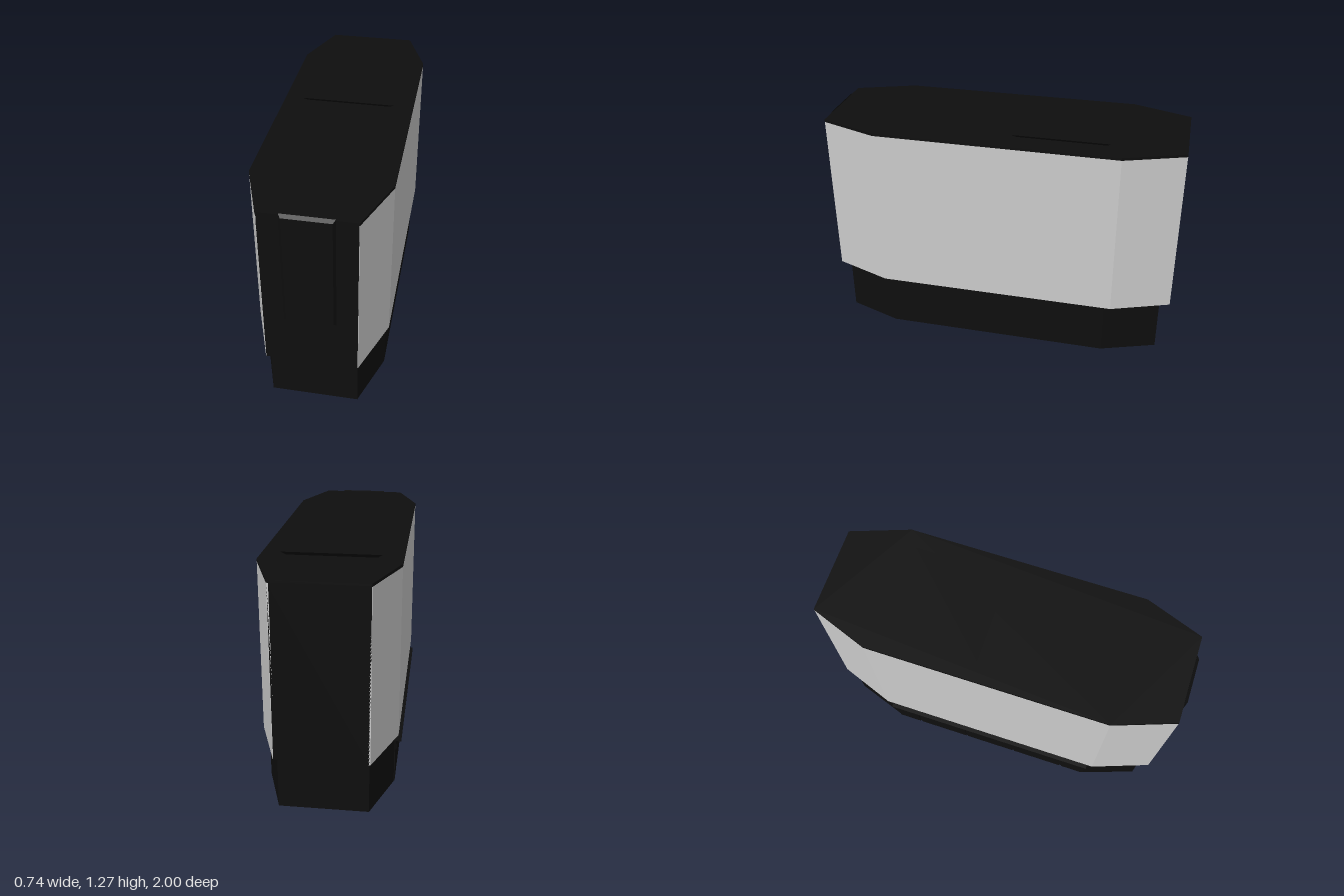
import * as THREE from 'three';

const CX = 0.005, CZ = -0.0075; // shared plan centre
const black = new THREE.MeshStandardMaterial({ color: 0x0e0e0e, flatShading: true });
const grey = new THREE.MeshStandardMaterial({ color: 0xcccccc, flatShading: true });

// Upright prism from [x, z] plan points
function prism(points, y0, y1) {
  const shape = new THREE.Shape(points.map(([x, z]) => new THREE.Vector2(x, -z)));
  const g = new THREE.ExtrudeGeometry(shape, { depth: y1 - y0, bevelEnabled: false });
  return g.rotateX(-Math.PI / 2).translate(CX, y0, CZ);
}

// Elongated octagon: half width, half end width, half length, half straight length
function octagon(w, e, l, s) {
  return [[e, l], [w, s], [w, -s], [e, -l], [-e, -l], [-w, -s], [-w, s], [-e, l]];
}

// Box whose -z or -y side is narrower: a four-sided frustum along +y
function frustum(w0, d0, w1, d1, h) {
  const g = new THREE.BoxGeometry(1, h, 1);
  const p = g.attributes.position;
  for (let i = 0; i < p.count; i++) {
    const top = p.getY(i) > 0;
    p.setX(i, p.getX(i) * (top ? w1 : w0));
    p.setZ(i, p.getZ(i) * (top ? d1 : d0));
  }
  g.computeVertexNormals();
  return g.translate(0, h / 2, 0);
}

export function createModel() {
  const group = new THREE.Group();
  const add = (name, geometry, material) => {
    const mesh = new THREE.Mesh(geometry, material);
    mesh.name = name;
    group.add(mesh);
    return mesh;
  };

  // Plinth, cabinet core and worktop
  add('plinth', prism(octagon(0.34, 0.235, 0.935, 0.63), 0, 0.32), black);
  add('cabinetCore', prism(octagon(0.355, 0.243, 0.9925, 0.665), 0.31, 1.24), black);
  add('worktop', prism(octagon(0.363, 0.245, 0.9925, 0.668), 1.237, 1.252), black);

  // Grey cladding wrapped around each long side
  for (const side of [1, -1]) {
    const outline = [
      [0.245, 0.9925], [0.363, 0.668], [0.363, -0.668], [0.245, -0.9925],
      [0.235, -0.9925], [0.35, -0.66], [0.35, 0.66], [0.235, 0.9925],
    ].map(([x, z]) => [x * side, z]);
    add(side > 0 ? 'leftCladding' : 'rightCladding', prism(outline, 0.31, 1.237), grey);
  }

  // Raised top plate, flaring upwards
  add('topPlate', frustum(0.46, 0.48, 0.515, 0.525, 0.022), black)
    .position.set(CX, 1.25, -0.345);

  // Bevelled panel on the front end
  const panel = add('frontPanel', frustum(0.27, 0.66, 0.245, 0.63, 0.016), black);
  panel.rotation.x = Math.PI / 2;
  panel.position.set(CX, 0.928, 0.984);

  // Drawer fronts along the right side of the plinth, under one thin lip
  const seams = [-0.64, -0.49, -0.17, 0.15, 0.47, 0.62];
  for (let i = 0; i < seams.length - 1; i++) {
    const length = seams[i + 1] - seams[i] - 0.012;
    add('drawerFront', new THREE.BoxGeometry(0.008, 0.25, length), black)
      .position.set(-0.336, 0.127, (seams[i] + seams[i + 1]) / 2);
  }
  add('drawerLip', new THREE.BoxGeometry(0.04, 0.008, 1.28), black)
    .position.set(-0.352, 0.261, -0.01);

  return group;
}
